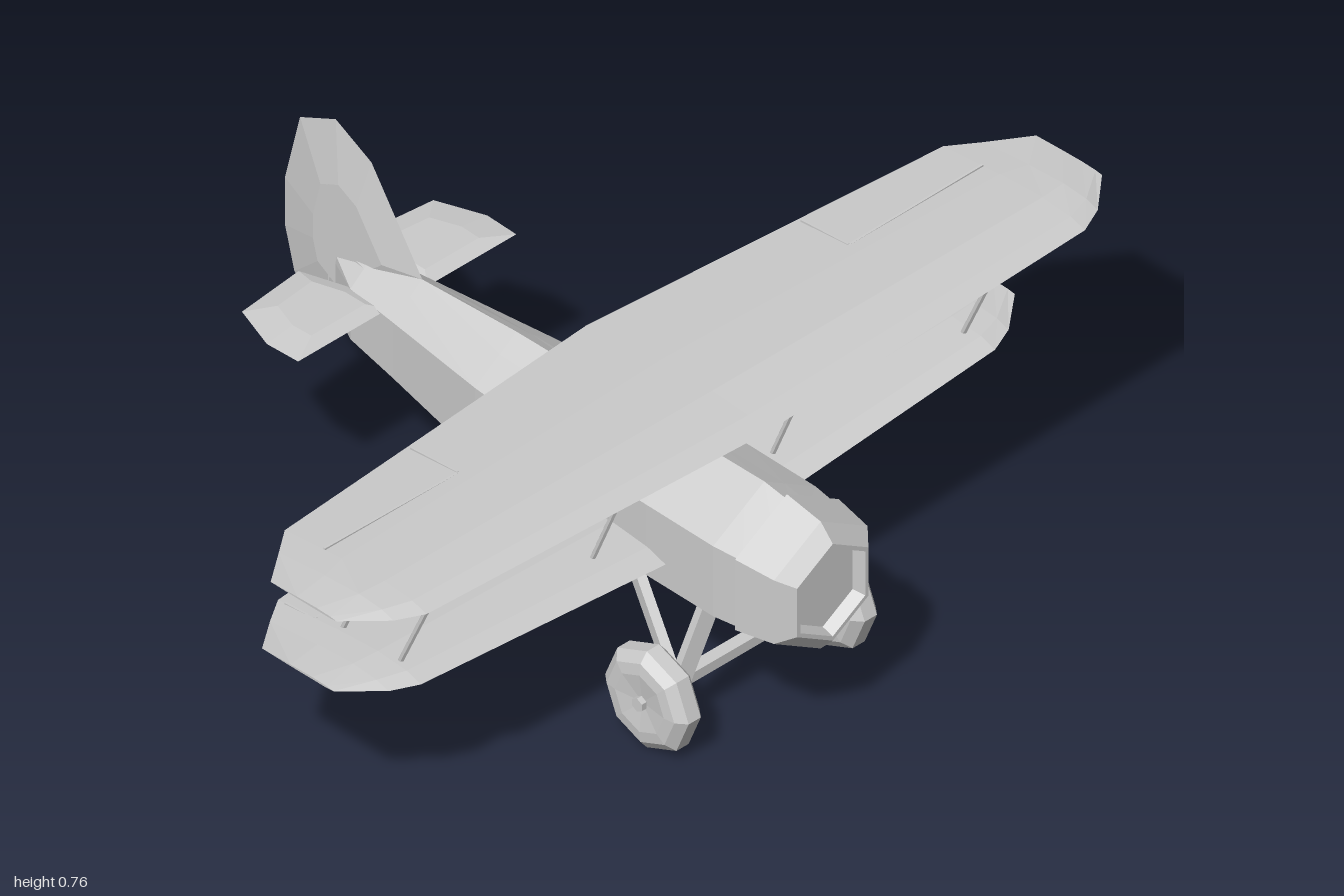
import * as THREE from 'three';

const grey = new THREE.MeshStandardMaterial({ color: 0xcccccc, flatShading: true });
const lerp = THREE.MathUtils.lerp;

function add(parent, name, geometry) {
  const mesh = new THREE.Mesh(geometry, grey);
  mesh.name = name;
  parent.add(mesh);
  return mesh;
}

// Closed solid through rings of equal point count, turned so that it faces outward
function loft(rings) {
  const tris = [];
  const n = rings[0].length;
  for (let i = 0; i < rings.length - 1; i++) {
    const a = rings[i], b = rings[i + 1];
    for (let j = 0; j < n; j++) {
      const k = (j + 1) % n;
      tris.push([a[j], a[k], b[k]], [a[j], b[k], b[j]]);
    }
  }
  const first = rings[0], last = rings[rings.length - 1];
  for (let j = 1; j < n - 1; j++) {
    tris.push([first[0], first[j + 1], first[j]], [last[0], last[j], last[j + 1]]);
  }
  let volume = 0;
  for (const t of tris) {
    const [a, b, c] = t.map((p) => new THREE.Vector3(...p));
    volume += a.dot(b.cross(c));
  }
  if (volume < 0) tris.forEach((t) => t.reverse());
  const geometry = new THREE.BufferGeometry();
  geometry.setAttribute('position', new THREE.Float32BufferAttribute(tris.flat(2), 3));
  geometry.computeVertexNormals();
  return geometry;
}

// Straight pieces between two points: square beam or round rod
function between(parent, name, geometry, a, b) {
  const from = new THREE.Vector3(...a), to = new THREE.Vector3(...b);
  const mesh = add(parent, name, geometry);
  mesh.position.copy(from).lerp(to, 0.5);
  mesh.scale.z = from.distanceTo(to);
  mesh.lookAt(to);
}
const beam = (parent, name, a, b, w, h) => between(parent, name, new THREE.BoxGeometry(w, h, 1), a, b);
const rod = (parent, name, a, b, r) =>
  between(parent, name, new THREE.CylinderGeometry(r, r, 1, 6).rotateX(Math.PI / 2), a, b);

// Pointed-top hexagon, with a spare point halfway down each upper slope;
// pit lowers the centre point to open the cockpit
function bodyRing([z, top, sideTop, sideLow, bottom, w, pit = top]) {
  const rimY = lerp(top, sideTop, 0.4), rimX = w * 0.4;
  return [
    [0, pit, z], [rimX, rimY, z], [w, sideTop, z], [w, sideLow, z],
    [0, bottom, z], [-w, sideLow, z], [-w, sideTop, z], [-rimX, rimY, z],
  ];
}

// Wing lofted across x from half-span stations [x, leading z, trailing z, base y, thickness]
const AIRFOIL = [[0, 0.35], [0.1, 0.8], [0.3, 1], [0.6, 0.75], [1, 0.2], [0.6, 0], [0.1, 0]];
function wing(stations) {
  const mirrored = stations.slice(1).reverse().map(([x, ...rest]) => [-x, ...rest]);
  return loft([...mirrored, ...stations].map(([x, lead, trail, y, t]) =>
    AIRFOIL.map(([c, h]) => [x, y + h * t, lerp(lead, trail, c)])));
}

// Thin blade: sharp outline with a smaller raised outline on both faces
function blade(outline, centre, inset, t, place) {
  const small = outline.map((p) => p.map((v, i) => lerp(centre[i], v, inset)));
  return loft([
    small.map((p) => place(p, -t)),
    outline.map((p) => place(p, 0)),
    small.map((p) => place(p, t)),
  ]);
}

export function createModel() {
  const plane = new THREE.Group();
  plane.name = 'biplane';

  // Fuselage: [z, top, upper side, lower side, bottom, half width, pit]
  add(plane, 'fuselage', loft([
    [0.62, 0.51, 0.437, 0.28, 0.206, 0.125],
    [0.55, 0.521, 0.44, 0.278, 0.2, 0.134],
    [0.37, 0.521, 0.443, 0.28, 0.2, 0.134],
    [0.335, 0.521, 0.443, 0.28, 0.2, 0.133, 0.43],
    [0.175, 0.521, 0.444, 0.281, 0.205, 0.129, 0.43],
    [0.125, 0.521, 0.444, 0.283, 0.207, 0.126],
    [-0.11, 0.521, 0.446, 0.289, 0.217, 0.108],
    [-0.36, 0.51, 0.449, 0.32, 0.25, 0.076],
    [-0.49, 0.498, 0.45, 0.334, 0.27, 0.06],
    [-0.6, 0.48, 0.443, 0.342, 0.29, 0.004],
  ].map(bodyRing)));

  // Engine cowl with a recessed front face: [z, radius]
  add(plane, 'engineCowl', loft([
    [0.61, 0.163], [0.7, 0.147], [0.732, 0.112], [0.732, 0.102], [0.705, 0.094],
  ].map(([z, r]) => Array.from({ length: 6 }, (_, i) => {
    const a = (i * Math.PI) / 3;
    return [Math.sin(a) * r * 0.96, 0.36 + Math.cos(a) * r, z];
  }))));

  // Wings
  add(plane, 'upperWing', wing([
    [0, 0.555, 0.075, 0.625, 0.033],
    [0.86, 0.527, 0.15, 0.637, 0.026],
    [0.92, 0.5, 0.195, 0.64, 0.022],
    [1, 0.43, 0.255, 0.649, 0.005],
  ]));
  add(plane, 'lowerWing', wing([
    [0, 0.425, -0.075, 0.315, 0.034],
    [0.1, 0.425, -0.065, 0.318, 0.034],
    [0.75, 0.4, 0.02, 0.35, 0.027],
    [0.81, 0.375, 0.06, 0.354, 0.022],
    [0.89, 0.31, 0.12, 0.367, 0.005],
  ]));

  // Fin and rudder, drawn as [z, y]
  add(plane, 'tailFin', blade([
    [-0.36, 0.51], [-0.495, 0.71], [-0.59, 0.76], [-0.685, 0.715],
    [-0.725, 0.555], [-0.725, 0.445], [-0.7, 0.35], [-0.6, 0.29],
  ], [-0.54, 0.5], 0.5, 0.018, ([z, y], t) => [t, y, z]));
  beam(plane, 'rudderHinge', [0, 0.38, -0.59], [0, 0.62, -0.59], 0.036, 0.004);

  for (const s of [1, -1]) {
    const side = new THREE.Group();
    side.name = s > 0 ? 'leftSide' : 'rightSide';
    plane.add(side);

    // Tailplane, drawn as [x, z]
    add(side, 'tailplane', blade([
      [0.05, -0.4], [0.285, -0.4], [0.288, -0.48], [0.25, -0.585], [0.085, -0.602], [0.05, -0.49],
    ], [0.12, -0.48], 0.6, 0.009, ([x, z], t) => [s * x, 0.446 + t, z]));

    // Wing struts, leaning back from top to bottom
    for (const [x, low] of [[0.235, 0.335], [0.735, 0.36]]) {
      rod(side, 'frontStrut', [s * x, 0.635, 0.452], [s * x, low, 0.326], 0.006);
      rod(side, 'rearStrut', [s * x, 0.635, 0.3], [s * x, low, 0.175], 0.006);
    }

    // Aileron seams
    beam(side, 'upperAileronHinge', [s * 0.51, 0.641, 0.255], [s * 0.86, 0.646, 0.255], 0.005, 0.02);
    beam(side, 'upperAileronSeam', [s * 0.51, 0.645, 0.255], [s * 0.51, 0.636, 0.13], 0.005, 0.014);
    beam(side, 'lowerAileronHinge', [s * 0.57, 0.348, 0.117], [s * 0.75, 0.357, 0.117], 0.005, 0.017);
    beam(side, 'lowerAileronSeam', [s * 0.75, 0.357, 0.117], [s * 0.75, 0.353, 0.04], 0.005, 0.014);

    // Landing gear legs
    const foot = [s * 0.168, 0.1, 0.49];
    beam(side, 'frontLeg', [s * 0.1, 0.285, 0.512], foot, 0.02, 0.036);
    beam(side, 'rearLeg', [s * 0.1, 0.285, 0.29], foot, 0.02, 0.03);

    // Eight-sided wheel with a small hub
    const profile = [[0, -0.028], [0.065, -0.036], [0.09, -0.033], [0.111, -0.016],
      [0.111, 0.016], [0.09, 0.033], [0.065, 0.036], [0, 0.028]];
    const wheel = add(side, 'wheel', new THREE.LatheGeometry(
      profile.map(([r, y]) => new THREE.Vector2(r, y)), 8).rotateZ(Math.PI / 2));
    wheel.position.set(s * 0.23, 0.111, 0.488);
    rod(side, 'wheelHub', [s * 0.16, 0.111, 0.488], [s * 0.272, 0.111, 0.488], 0.015);
  }

  // Axle
  beam(plane, 'axle', [-0.18, 0.113, 0.488], [0.18, 0.113, 0.488], 0.028, 0.022);

  return plane;
}
